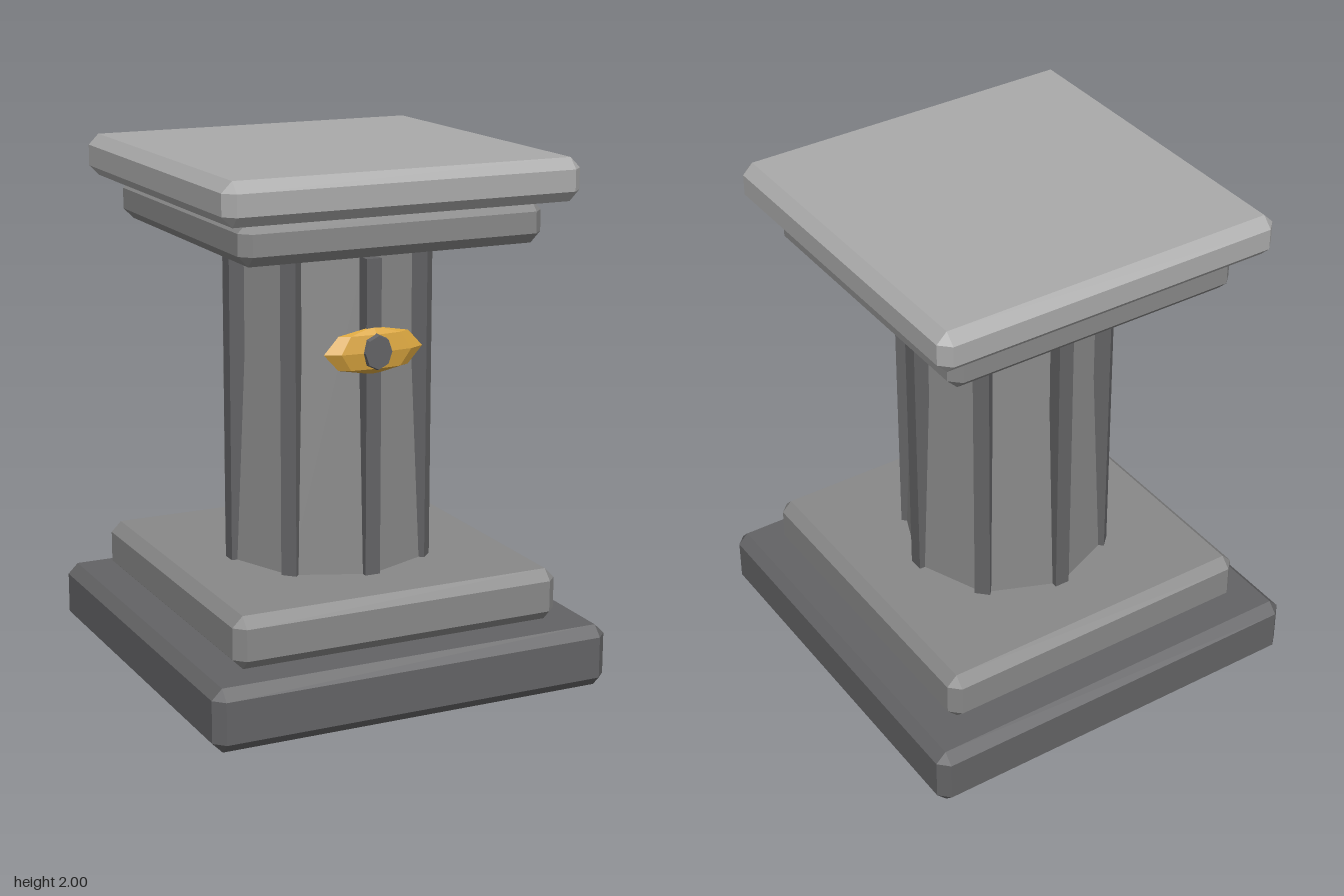
import * as THREE from 'three';
import { ConvexGeometry } from 'three/addons/geometries/ConvexGeometry.js';

function flat(name, color) {
  const m = new THREE.MeshStandardMaterial({ color, flatShading: true });
  m.name = name;
  return m;
}

// Box with every edge and corner cut by one flat bevel
function chamferedBox(w, h, d, b) {
  const points = [];
  for (const x of [-1, 1]) for (const y of [-1, 1]) for (const z of [-1, 1]) {
    const [X, Y, Z] = [x * w / 2, y * h / 2, z * d / 2];
    points.push(
      new THREE.Vector3(X, Y - y * b, Z - z * b),
      new THREE.Vector3(X - x * b, Y, Z - z * b),
      new THREE.Vector3(X - x * b, Y - y * b, Z)
    );
  }
  return new ConvexGeometry(points);
}

export function createModel() {
  const model = new THREE.Group();
  model.name = 'pedestal';
  const darkStone = flat('dark stone', 0x636365);
  const midStone = flat('mid stone', 0x888888);
  const paleStone = flat('pale stone', 0xaaaaaa);
  const gold = flat('gold', 0xd9a53f);

  function add(name, geometry, material, x = 0, y = 0, z = 0, parent = model) {
    const mesh = new THREE.Mesh(geometry, material);
    mesh.name = name;
    mesh.position.set(x, y, z);
    parent.add(mesh);
    return mesh;
  }

  // Stepped base and capital: name, half width, bottom, top, material
  const slabs = [
    ['plinth', 0.8, 0, 0.24, darkStone],
    ['baseStep', 0.66, 0.24, 0.44, midStone],
    ['capitalStep', 0.6, 1.68, 1.84, midStone],
    ['capitalTop', 0.7, 1.84, 2, paleStone],
  ];
  for (const [name, half, y0, y1, material] of slabs) {
    add(name, chamferedBox(half * 2, y1 - y0, half * 2, 0.04), material, 0, (y0 + y1) / 2, 0);
  }

  // Tapered octagonal shaft, corners lying behind the ribs
  add('shaft', new THREE.CylinderGeometry(0.343, 0.4, 1.22, 8), midStone, 0, 1.05, 0);

  // Eight upright ribs
  const ribs = new THREE.Group();
  ribs.name = 'ribs';
  model.add(ribs);
  const ribGeometry = new THREE.BoxGeometry(0.06, 1.2, 0.06);
  for (let i = 0; i < 8; i++) {
    const a = i * Math.PI / 4;
    const rib = add('rib', ribGeometry, darkStone, Math.sin(a) * 0.38, 1.04, Math.cos(a) * 0.38, ribs);
    rib.rotation.y = a;
  }

  // Eye ornament on the front
  const eye = new THREE.Group();
  eye.name = 'eyeOrnament';
  eye.position.set(0, 1.3, 0.405);
  model.add(eye);
  const lens = new THREE.SphereGeometry(1, 8, 4);
  lens.scale(0.2, 0.09, 0.04);
  add('eye', lens, gold, 0, 0, 0, eye);
  const disc = new THREE.CylinderGeometry(0.9, 1, 0.03, 8);
  disc.rotateX(Math.PI / 2);
  disc.scale(0.06, 0.07, 1);
  add('pupil', disc, darkStone, 0, 0, 0.032, eye);

  return model;
}
